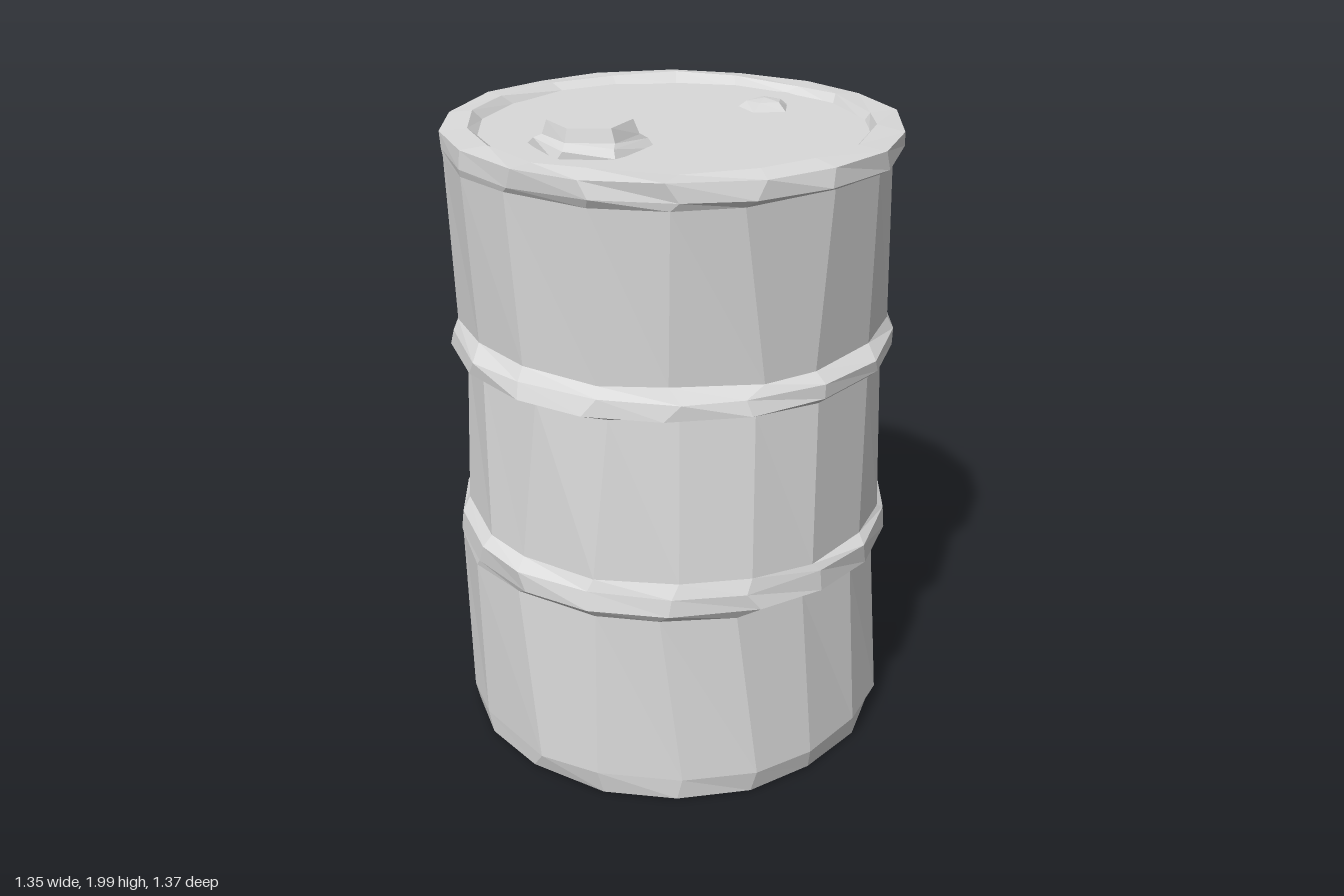
import * as THREE from 'three';

const SEGMENTS = 18;

// Repeatable noise in -1..1
function noise(i, j) {
  const s = Math.sin(i * 127.1 + j * 311.7 + 4.2) * 43758.5453;
  return (s - Math.floor(s)) * 2 - 1;
}

// Faceted lathe; each profile point is [radius, height, wobble, shiftX, shiftZ]
function facetedLathe(profile, segments, name, material) {
  const points = profile.map(([r, y]) => new THREE.Vector2(r, y));
  const geometry = new THREE.LatheGeometry(points, segments);
  const pos = geometry.attributes.position;
  for (let i = 0; i < pos.count; i++) {
    const j = i % profile.length;
    const column = Math.floor(i / profile.length) % segments;
    const [r, y, wobble = 0, shiftX = 0, shiftZ = 0] = profile[j];
    if (r === 0) continue;
    const angle = ((column + noise(column, j) * wobble * 18) / segments) * Math.PI * 2;
    const radius = r + noise(column + 31, j) * wobble;
    const height = y + noise(column + 67, j) * wobble;
    pos.setXYZ(i, Math.sin(angle) * radius + shiftX, height, Math.cos(angle) * radius + shiftZ);
  }
  const faceted = geometry.toNonIndexed();
  faceted.computeVertexNormals();
  const mesh = new THREE.Mesh(faceted, material);
  mesh.name = name;
  return mesh;
}

export function createModel() {
  const group = new THREE.Group();
  group.name = 'barrel';
  const steel = new THREE.MeshStandardMaterial({ color: 0xdadada });
  steel.name = 'greySteel';

  // Dented drum wall with two hoops, a rolled top rim and a recessed base
  group.add(facetedLathe([
    [0, 0.065],
    [0.595, 0.065],
    [0.605, 0.012, 0.003],
    [0.66, 0.014, 0.004],
    [0.676, 0.085, 0.008],
    [0.657, 0.635, 0.008, -0.018, -0.01],
    [0.68, 0.66, 0.006],
    [0.678, 0.72, 0.007],
    [0.66, 0.75, 0.009, 0.004, -0.004],
    [0.638, 1.25, 0.009, 0.017, -0.012],
    [0.68, 1.28, 0.007],
    [0.674, 1.33, 0.008],
    [0.655, 1.36, 0.009, 0.002, -0.02],
    [0.666, 1.87, 0.008, -0.01, -0.006],
    [0.682, 1.89, 0.006],
    [0.678, 1.945, 0.005],
    [0.6, 1.952, 0.007],
    [0.568, 1.924, 0.008],
  ], SEGMENTS, 'drumBody', steel));

  // Sunken lid
  group.add(facetedLathe([[0.6, 1.926], [0, 1.926]], SEGMENTS, 'lid', steel));

  // Large flanged filler cap
  const largeCap = facetedLathe(
    [[0.178, 0, 0.008], [0.165, 0.026, 0.008], [0.138, 0.038, 0.004], [0.122, 0.078], [0, 0.078]],
    6, 'largeCap', steel);
  largeCap.position.set(-0.29, 1.922, 0.115);
  largeCap.rotation.y = 0.2;

  // Small pointed plug
  const smallCap = facetedLathe(
    [[0.083, 0, 0.005], [0.06, 0.026, 0.006], [0, 0.034]],
    5, 'smallCap', steel);
  smallCap.position.set(0.35, 1.922, -0.13);
  smallCap.rotation.y = 0.5;
  group.add(largeCap, smallCap);

  return group;
}
